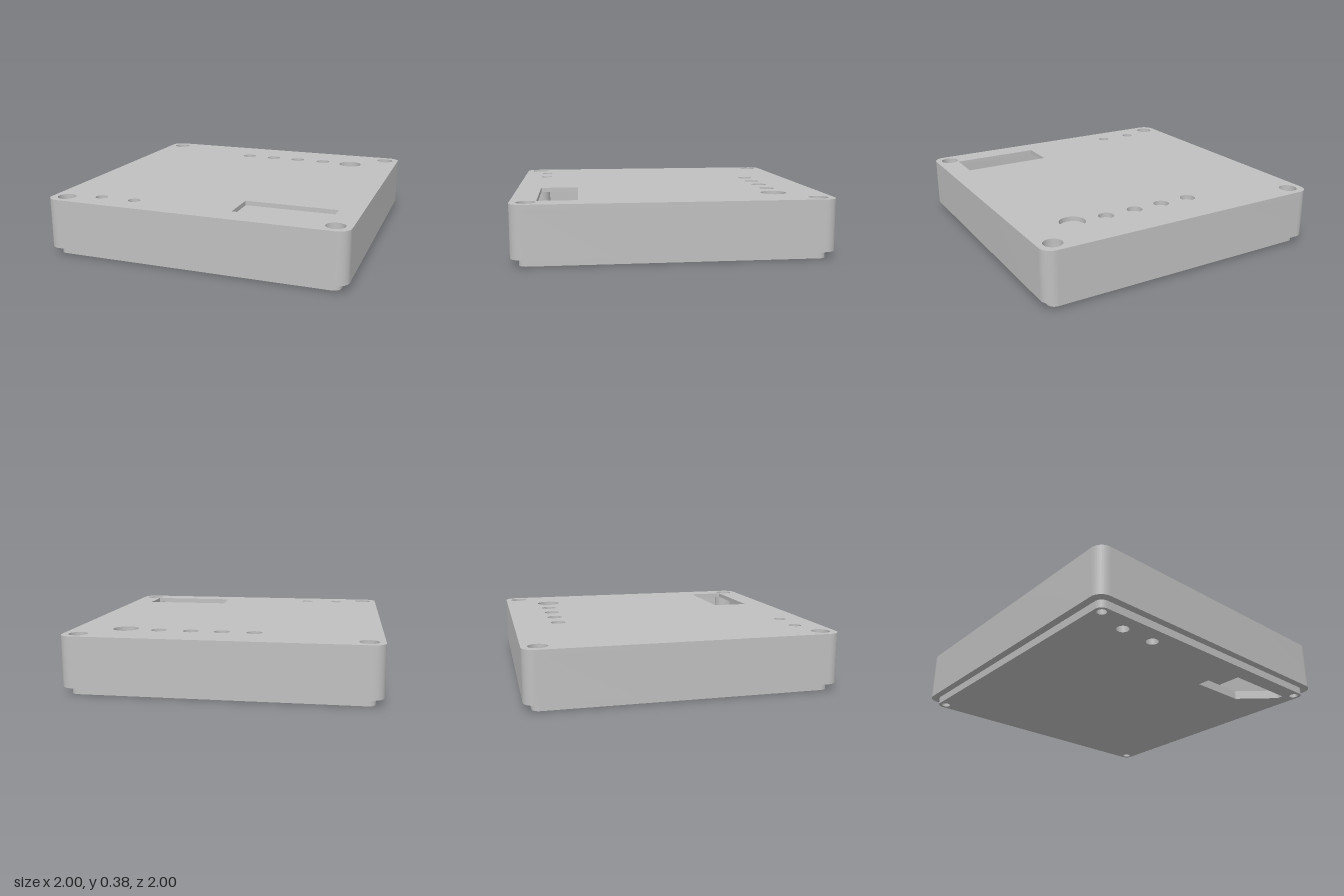
import * as THREE from 'three';
import { toCreasedNormals } from 'three/addons/utils/BufferGeometryUtils.js';

// Outlines are drawn in (x, -z) and extruded upward.
function roundedSquare(half, r, Type = THREE.Shape) {
  const s = new Type(), c = half - r;
  s.absarc(c, c, r, 0, Math.PI / 2);
  s.absarc(-c, c, r, Math.PI / 2, Math.PI);
  s.absarc(-c, -c, r, Math.PI, Math.PI * 1.5);
  s.absarc(c, -c, r, Math.PI * 1.5, Math.PI * 2);
  s.closePath();
  return s;
}

function circle(x, z, r, Type = THREE.Path) {
  const p = new Type();
  p.absarc(x, -z, r, 0, Math.PI * 2);
  return p;
}

function polygon(points) {
  return new THREE.Path(points.map(([x, z]) => new THREE.Vector2(x, -z)));
}

export function createModel() {
  const group = new THREE.Group();
  const grey = new THREE.MeshStandardMaterial({ color: 0xc0c0c0 });
  grey.name = 'grey plastic';

  function slab(name, shape, holes, y0, y1) {
    shape.holes.push(...holes);
    const geo = new THREE.ExtrudeGeometry(shape, { depth: y1 - y0, bevelEnabled: false, curveSegments: 16 });
    geo.rotateX(-Math.PI / 2).translate(0, y0, 0);
    const mesh = new THREE.Mesh(toCreasedNormals(geo, 0.6), grey);
    mesh.name = name;
    group.add(mesh);
  }

  const corners = [[-0.9, -0.9], [0.9, -0.9], [-0.9, 0.9], [0.9, 0.9]];
  const screwHoles = r => corners.map(([x, z]) => circle(x, z, r));
  const smallHoles = () => [-0.68, -0.44].map(x => circle(x, 0.83, 0.04));

  // Case walls
  slab('walls', roundedSquare(1, 0.08), [roundedSquare(0.96, 0.05, THREE.Path)], 0.05, 0.35);

  // Top panel with button holes, dial hole and window
  slab('topPanel', roundedSquare(1, 0.08), [
    ...screwHoles(0.06),
    ...smallHoles(),
    ...[-0.19, 0.02, 0.225, 0.435].map(x => circle(x, -0.7, 0.05)),
    circle(0.66, -0.68, 0.083),
    polygon([[0.24, 0.59], [0.85, 0.59], [0.85, 0.84], [0.24, 0.84]]),
  ], 0.35, 0.38);

  // Base plate with stepped edge; its opening is cut off at one corner
  const baseHoles = () => [
    ...screwHoles(0.03),
    ...smallHoles(),
    polygon([[0.24, 0.59], [0.63, 0.59], [0.85, 0.8], [0.85, 0.84], [0.24, 0.84]]),
  ];
  slab('basePlate', roundedSquare(0.95, 0.05), baseHoles(), 0, 0.051);
  slab('baseSeat', roundedSquare(0.98, 0.07), baseHoles(), 0.051, 0.06);

  // Screw posts with a counterbore at the top
  for (const [x, z] of corners) {
    slab('screwPost', circle(x, z, 0.075, THREE.Shape), [circle(x, z, 0.03)], 0.06, 0.3);
    slab('counterbore', circle(x, z, 0.075, THREE.Shape), [circle(x, z, 0.06)], 0.3, 0.35);
  }

  return group;
}
